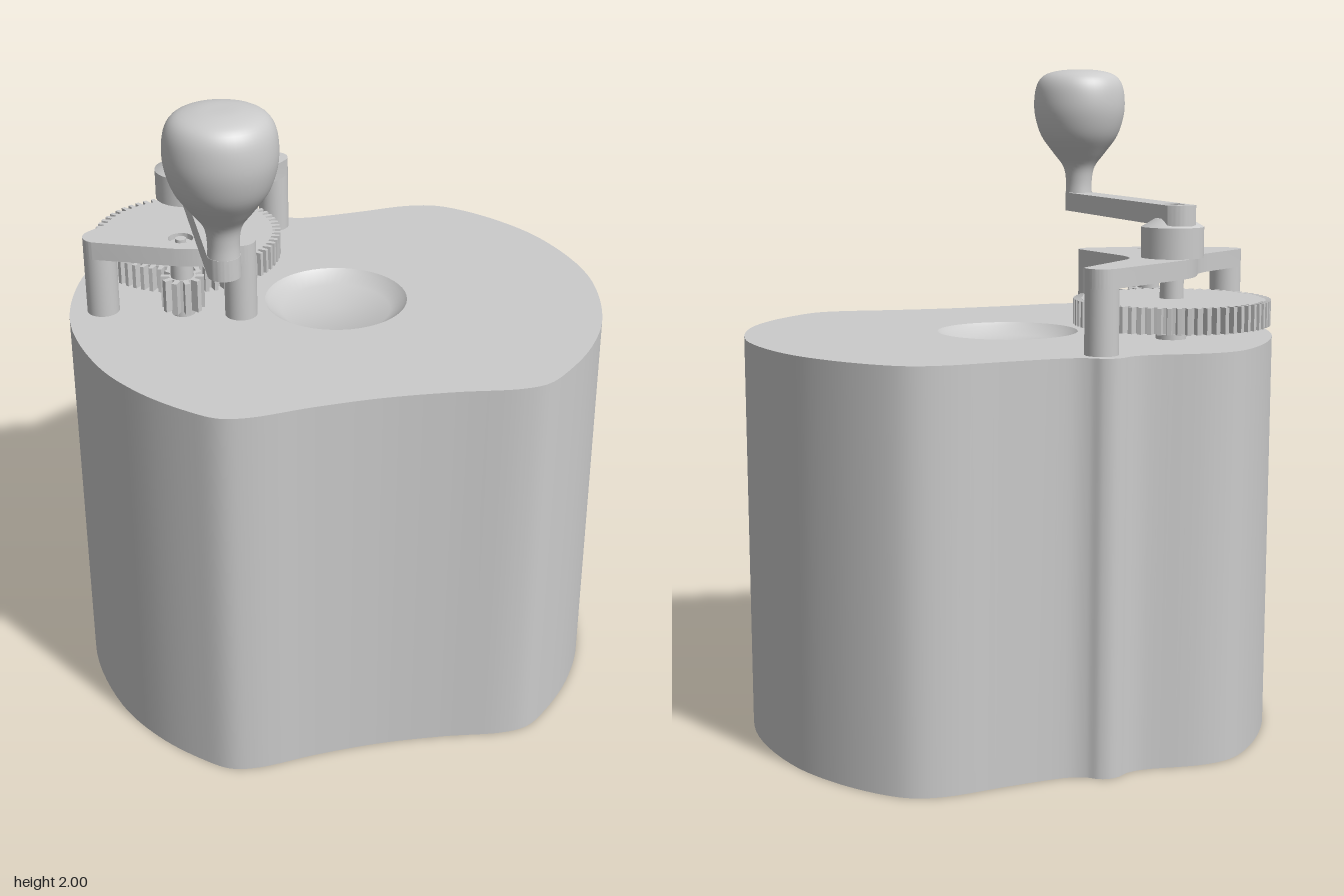
import * as THREE from 'three';
import { toCreasedNormals } from 'three/addons/utils/BufferGeometryUtils.js';

const grey = new THREE.MeshStandardMaterial({ color: 0xcccccc });
const AXLE = [-0.405, -0.32]; // x, z of the crank and large gear
const PINION = [-0.463, 0.0];

function part(parent, name, geometry, material = grey) {
  const mesh = new THREE.Mesh(geometry, material);
  mesh.name = name;
  parent.add(mesh);
  return mesh;
}

// Shapes are drawn as (x, -z) and raised from y0 by height h.
function slab(shape, y0, h, crease = 0.5) {
  const g = new THREE.ExtrudeGeometry(shape, { depth: h, bevelEnabled: false, curveSegments: 16 });
  g.rotateX(-Math.PI / 2).translate(0, y0, 0);
  return toCreasedNormals(g, crease);
}

function rod(x, z, y0, y1, r, rTop = r) {
  return new THREE.CylinderGeometry(rTop, r, y1 - y0, 32).translate(x, (y0 + y1) / 2, z);
}

function circlePath(x, z, r) {
  return new THREE.Path().absarc(x, -z, r, 0, Math.PI * 2, true);
}

function lathe(points, x, z) {
  const g = new THREE.LatheGeometry(points.map(([r, y]) => new THREE.Vector2(r, y)), 48);
  return toCreasedNormals(g.toNonIndexed(), 0.6).translate(x, 0, z);
}

function gearShape([cx, cz], n, rIn, rOut) {
  const pts = [];
  for (let i = 0; i < n; i++) {
    for (const [f, r] of [[0, rIn], [0.35, rIn], [0.47, rOut], [0.88, rOut]]) {
      const a = ((i + f) / n) * Math.PI * 2;
      pts.push(new THREE.Vector2(cx + r * Math.cos(a), -cz + r * Math.sin(a)));
    }
  }
  return new THREE.Shape(pts);
}

function bodyOutline() {
  const right = [[0.2, 0.645], [0.38, 0.665], [0.46, 0.652], [0.54, 0.59], [0.65, 0.466], [0.745, 0.29],
    [0.8, 0], [0.745, -0.29], [0.65, -0.466], [0.54, -0.59], [0.47, -0.635], [0.38, -0.65], [0.2, -0.632]];
  const bump = [[0.02, -0.623], [-0.03, -0.638], [-0.06, -0.66], [-0.09, -0.667], [-0.12, -0.66], [-0.15, -0.642]];
  const left = right.map(([x, z]) => [-x, z]).reverse();
  const pts = [[0, 0.635], ...right, ...bump, ...left].map(([x, z]) => new THREE.Vector3(x, 0, z));
  return new THREE.CatmullRomCurve3(pts, true).getPoints(204);
}

function buildBody(root) {
  const body = new THREE.Group();
  body.name = 'body';
  root.add(body);
  const line = bodyOutline();
  const n = line.length - 1;

  // Wall: an open cylinder whose rings follow the outline
  const wall = new THREE.CylinderGeometry(1, 1, 1.2, n, 1, true).translate(0, 0.6, 0);
  const pos = wall.attributes.position;
  for (let i = 0; i < pos.count; i++) {
    const p = line[i % (n + 1)];
    pos.setX(i, p.x);
    pos.setZ(i, p.z);
  }
  wall.computeVertexNormals();
  part(body, 'bodyWall', wall);

  const ring = line.slice(0, n);
  const top = new THREE.Shape(ring.map((p) => new THREE.Vector2(p.x, -p.z)));
  top.holes.push(circlePath(0, 0, 0.215));
  part(body, 'bodyTop', new THREE.ShapeGeometry(top, 24).rotateX(-Math.PI / 2).translate(0, 1.2, 0));
  const base = new THREE.Shape(ring.map((p) => new THREE.Vector2(p.x, p.z)));
  part(body, 'bodyBase', new THREE.ShapeGeometry(base).rotateX(Math.PI / 2));

  // Shallow sloped recess in the top
  const dish = lathe([[0, 1.165], [0.165, 1.165], [0.205, 1.19], [0.215, 1.2]], 0, 0);
  part(body, 'recess', dish, new THREE.MeshStandardMaterial({ color: 0xcccccc, side: THREE.DoubleSide }));
}

function buildBridge(root) {
  const bridge = new THREE.Group();
  bridge.name = 'bridge';
  root.add(bridge);
  const posts = [[-0.085, -0.583], [-0.695, -0.065], [-0.297, 0.045]];
  posts.forEach(([x, z]) => part(bridge, 'post', rod(x, z, 1.2, 1.39, 0.048)));

  // Three-armed plate with rounded ends
  const s = new THREE.Shape();
  s.moveTo(-0.05, 0.55);
  s.absarc(-0.085, 0.583, 0.048, -0.75, 2.2, false);
  s.lineTo(-0.4, 0.43);
  s.quadraticCurveTo(-0.46, 0.385, -0.5, 0.29);
  s.quadraticCurveTo(-0.52, 0.26, -0.56, 0.225);
  s.lineTo(-0.727, 0.101);
  s.absarc(-0.695, 0.065, 0.048, 2.3, 4.3, false);
  s.lineTo(-0.5, -0.068);
  s.quadraticCurveTo(-0.45, -0.088, -0.4, -0.09);
  s.lineTo(-0.297, -0.093);
  s.absarc(-0.297, -0.045, 0.048, -Math.PI / 2, 0.15, false);
  s.lineTo(-0.285, 0.2);
  s.quadraticCurveTo(-0.3, 0.31, -0.23, 0.37);
  s.lineTo(-0.05, 0.55);
  s.holes.push(circlePath(...PINION, 0.037));
  part(bridge, 'bridgePlate', slab(s, 1.385, 0.055));
}

function buildGears(root) {
  const gears = new THREE.Group();
  gears.name = 'gearTrain';
  root.add(gears);
  part(gears, 'largeGear', slab(gearShape(AXLE, 64, 0.265, 0.29), 1.245, 0.075));
  part(gears, 'largeGearShaft', rod(...AXLE, 1.2, 1.45, 0.035));
  part(gears, 'shaftCollar', rod(...AXLE, 1.2, 1.215, 0.045));
  part(gears, 'pinion', slab(gearShape(PINION, 10, 0.04, 0.064), 1.22, 0.1));
  part(gears, 'pinionShaft', rod(...PINION, 1.2, 1.425, 0.034));
  part(gears, 'pinionPin', rod(...PINION, 1.42, 1.44, 0.016));
}

function buildCrank(root) {
  const crank = new THREE.Group();
  crank.name = 'crank';
  root.add(crank);
  const [x, z] = AXLE;
  const knobZ = 0.48;
  const w = 0.045;

  // Hub with a tapered shoulder under the arm
  part(crank, 'hub', rod(x, z, 1.44, 1.53, 0.092));
  part(crank, 'hubShoulder', rod(x, z, 1.53, 1.555, 0.092, 0.05));

  // Arm with a screw hole over the hub
  const s = new THREE.Shape();
  s.moveTo(x - w, 0.385);
  s.lineTo(x - w, -knobZ);
  s.absarc(x, -knobZ, w, Math.PI, Math.PI * 2, false);
  s.lineTo(x + w, 0.385);
  s.quadraticCurveTo(x, 0.43, x - w, 0.385);
  s.holes.push(circlePath(x, z, 0.033));
  part(crank, 'arm', slab(s, 1.535, 0.06));
  part(crank, 'screw', rod(x, z, 1.53, 1.58, 0.016));

  // Knob turned from a smooth profile
  const profile = new THREE.SplineCurve([[0.045, 1.58], [0.043, 1.63], [0.052, 1.68], [0.085, 1.725],
    [0.125, 1.78], [0.146, 1.84], [0.151, 1.895], [0.142, 1.95], [0.115, 1.983], [0.06, 1.998], [0, 2]]
    .map(([r, y]) => new THREE.Vector2(r, y))).getPoints(44);
  profile.forEach((p) => { p.x = Math.max(p.x, 0); });
  part(crank, 'knob', new THREE.LatheGeometry(profile, 48).translate(x, 0, knobZ));
}

export function createModel() {
  const root = new THREE.Group();
  root.name = 'handCrankBox';
  buildBody(root);
  buildBridge(root);
  buildGears(root);
  buildCrank(root);
  return root;
}
